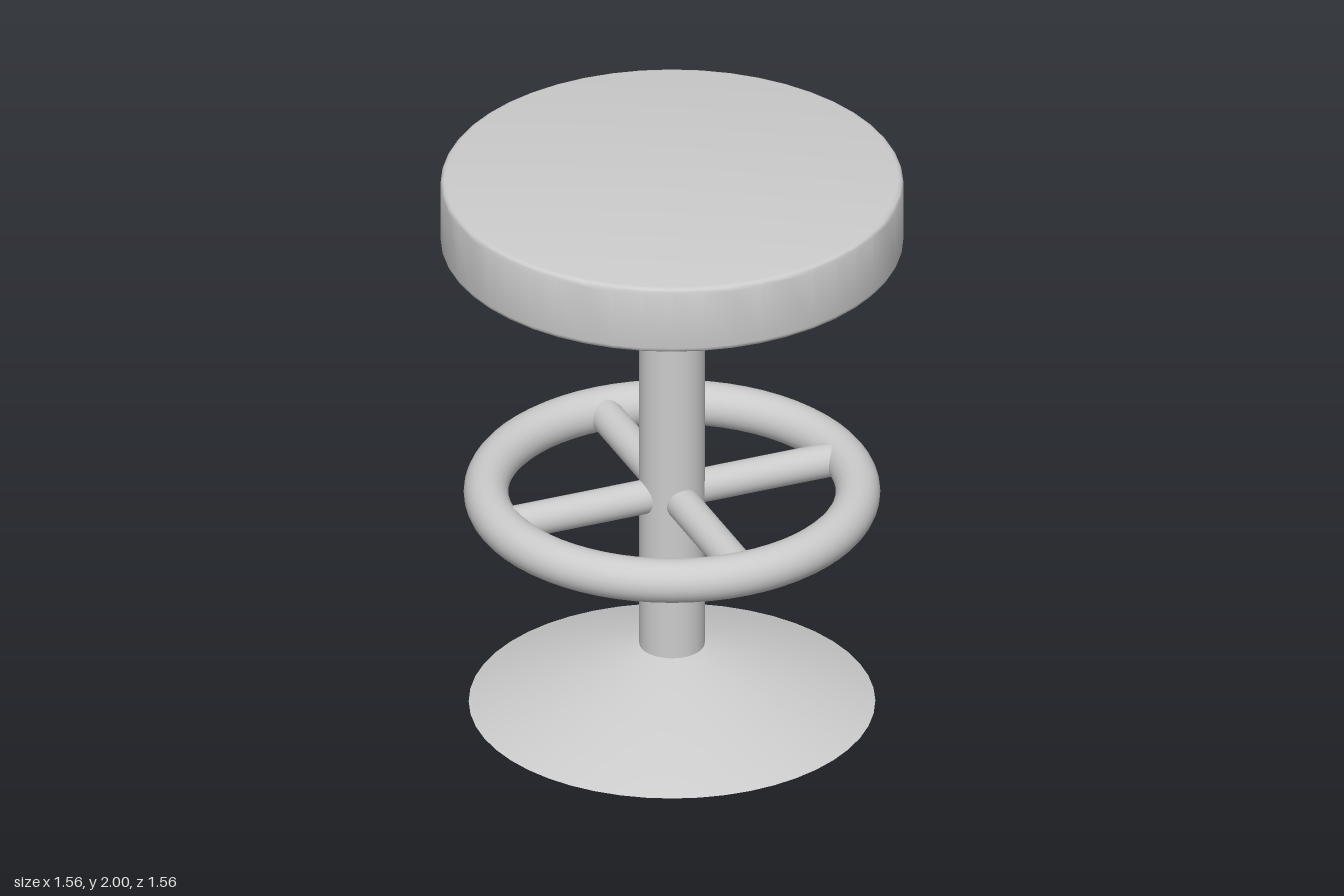
import * as THREE from 'three';
import { toCreasedNormals } from 'three/addons/utils/BufferGeometryUtils.js';

const SIDES = 48;
const material = new THREE.MeshStandardMaterial({ color: 0xcccccc });

function part(name, geometry) {
  const mesh = new THREE.Mesh(geometry, material);
  mesh.name = name;
  return mesh;
}

// Turned part from a profile running from the bottom axis outwards and up
function turned(name, points) {
  const profile = points.map(([r, y]) => new THREE.Vector2(r, y));
  return part(name, toCreasedNormals(new THREE.LatheGeometry(profile, SIDES), 0.6));
}

// Quarter-circle of profile points, used to round an edge
function roundedEdge(r, y, radius, start) {
  return Array.from({ length: 5 }, (_, i) => {
    const a = start + (i / 4) * Math.PI / 2;
    return [r + radius * Math.cos(a), y + radius * Math.sin(a)];
  });
}

export function createModel() {
  const stool = new THREE.Group();
  stool.name = 'stool';

  // Conical foot with a very slightly hollowed underside
  stool.add(turned('base', [
    [0, 0.015], [0.3, 0.013], [0.55, 0.007], [0.683, 0], [0.11, 0.223], [0, 0.223],
  ]));

  // Central column, running up into the recess under the seat
  const column = part('column', new THREE.CylinderGeometry(0.11, 0.11, 1.61, SIDES, 1, true));
  column.position.y = 1.015;
  stool.add(column);

  // Thick round seat with softened rims and a shallow dished underside
  const edge = 0.02, seatRadius = 0.778, seatBottom = 1.755;
  stool.add(turned('seat', [
    [0, 1.81], [0.5, 1.808], [0.6, 1.802], [0.67, 1.79], [0.72, 1.772],
    ...roundedEdge(seatRadius - edge, seatBottom + edge, edge, -Math.PI / 2),
    ...roundedEdge(seatRadius - edge, 2 - edge, edge, 0),
    [0, 2],
  ]));

  // Foot ring joined to the column by four spokes
  const footrest = new THREE.Group();
  footrest.name = 'footrest';
  footrest.position.y = 0.803;
  const ring = part('footRing', new THREE.TorusGeometry(0.625, 0.075, 24, 64));
  ring.rotation.x = Math.PI / 2;
  footrest.add(ring);

  const spokeGeometry = new THREE.CylinderGeometry(0.058, 0.058, 0.54, 24, 1, true);
  spokeGeometry.rotateZ(Math.PI / 2).translate(0.35, 0, 0);
  for (let i = 0; i < 4; i++) {
    const spoke = part('spoke', spokeGeometry);
    spoke.rotation.y = i * Math.PI / 2;
    footrest.add(spoke);
  }
  stool.add(footrest);

  return stool;
}
